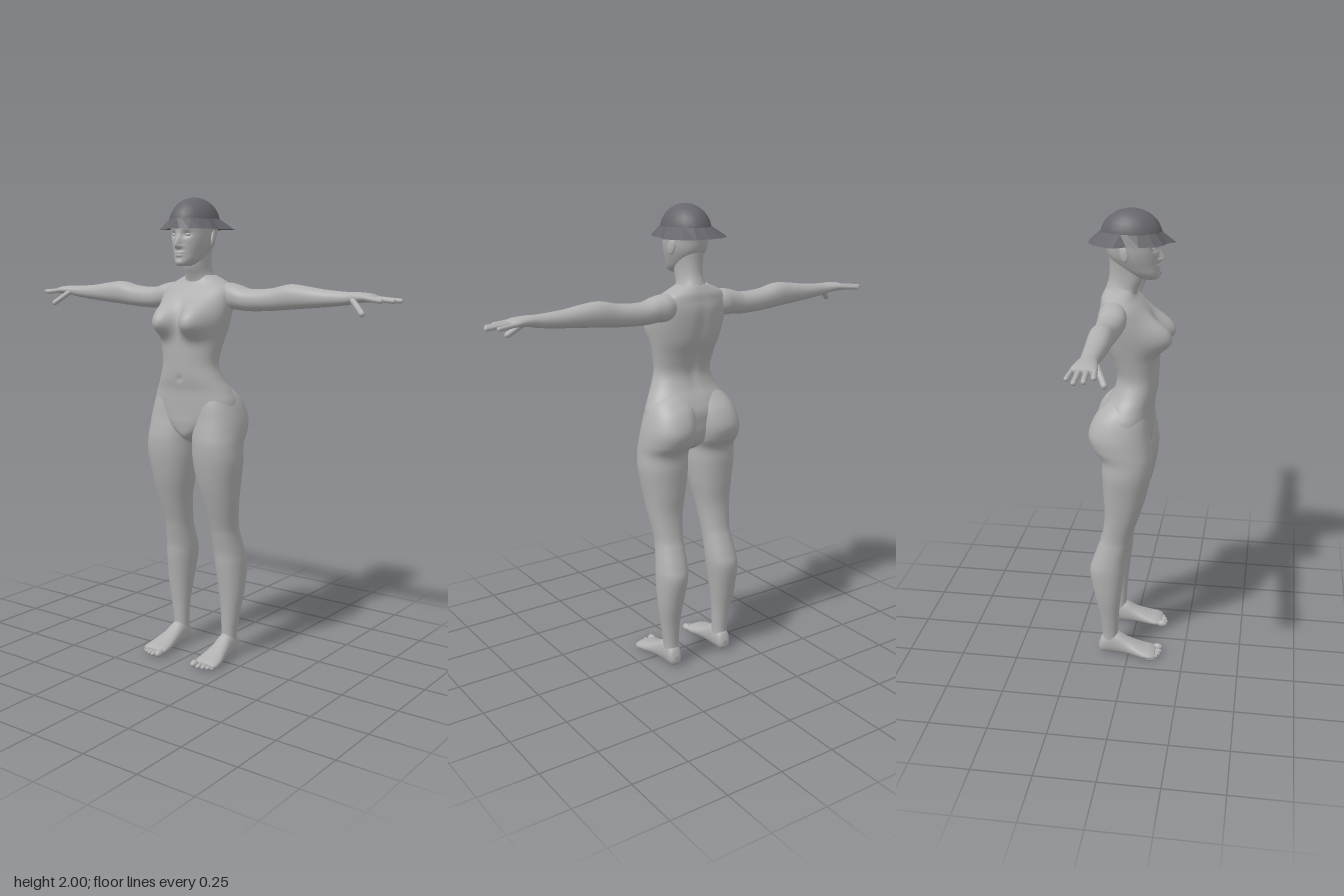
import * as THREE from 'three';

const skin = new THREE.MeshStandardMaterial({ color: 0xb0b0b0 });
skin.name = 'matte grey';
const hatGrey = new THREE.MeshStandardMaterial({ color: 0x66656b, side: THREE.DoubleSide });
hatGrey.name = 'dark hat grey';

// Smooth interpolation of a table of cross-sections
function sample(rows, t) {
  const i = Math.min(Math.floor(t), rows.length - 2), f = t - i;
  const at = k => rows[Math.max(0, Math.min(rows.length - 1, k))];
  return rows[i].map((p1, c) => {
    const p0 = at(i - 1)[c], p2 = at(i + 1)[c], p3 = at(i + 2)[c];
    return p1 + 0.5 * f * (p2 - p0 + f * (2 * p0 - 5 * p1 + 4 * p2 - p3 + f * (3 * (p1 - p2) + p3 - p0)));
  });
}

// Closed loft; each row is [y, centre x, half width, front z, back z]
function loft(rows, { sides = 40, steps = 6, power = 0.92, bump = null } = {}) {
  const pos = [], index = [], rings = (rows.length - 1) * steps + 1;
  const put = v => { if (bump) bump(v); pos.push(v.x, v.y, v.z); };
  const pw = s => Math.sign(s) * Math.abs(s) ** power;
  for (let i = 0; i < rings; i++) {
    const [y, cx, rx, zf, zb] = sample(rows, i / steps);
    for (let j = 0; j < sides; j++) {
      const a = j / sides * Math.PI * 2;
      put(new THREE.Vector3(cx + rx * pw(Math.cos(a)), y, (zf + zb) / 2 + (zf - zb) / 2 * pw(Math.sin(a))));
    }
  }
  for (const r of [rows[0], rows[rows.length - 1]]) put(new THREE.Vector3(r[1], r[0], (r[3] + r[4]) / 2));
  const c0 = rings * sides, top = (rings - 1) * sides;
  for (let j = 0; j < sides; j++) {
    const k = (j + 1) % sides;
    for (let i = 0; i < rings - 1; i++) {
      const a = i * sides + j, b = i * sides + k;
      index.push(a, a + sides, b, b, a + sides, b + sides);
    }
    index.push(c0, j, k, c0 + 1, top + k, top + j);
  }
  const g = new THREE.BufferGeometry();
  g.setAttribute('position', new THREE.Float32BufferAttribute(pos, 3));
  g.setIndex(index);
  g.computeVertexNormals();
  return g;
}

function mirrored(g) {
  const m = g.clone().scale(-1, 1, 1), ix = m.index;
  for (let i = 0; i < ix.count; i += 3) {
    const t = ix.getX(i);
    ix.setX(i, ix.getX(i + 1));
    ix.setX(i + 1, t);
  }
  return m;
}

function ball(x, y, z, rx, ry, rz) {
  return new THREE.SphereGeometry(1, 20, 14).scale(rx, ry, rz).translate(x, y, z);
}

// Rounded digit between two points
function digit(a, b, r) {
  const from = new THREE.Vector3(...a), to = new THREE.Vector3(...b), d = to.clone().sub(from);
  const q = new THREE.Quaternion().setFromUnitVectors(new THREE.Vector3(0, 1, 0), d.clone().normalize());
  const mid = from.add(to).multiplyScalar(0.5);
  return new THREE.CapsuleGeometry(r, d.length() - 2 * r, 5, 12).applyQuaternion(q).translate(mid.x, mid.y, mid.z);
}

const bell = (dx, dy, k = 1) => Math.exp(-((dx * dx + dy * dy) ** k));

export function createModel() {
  const model = new THREE.Group();
  model.name = 'figure';
  const add = (name, g, mat = skin) => {
    const m = new THREE.Mesh(g, mat);
    m.name = name;
    model.add(m);
  };
  const pair = (name, g) => { add('left ' + name, g); add('right ' + name, mirrored(g)); };

  // Torso with the chest and the spine groove shaped into it
  add('torso', loft([
    [0.97, 0, 0.02, 0.03, -0.05], [1.0, 0, 0.05, 0.075, -0.1], [1.05, 0, 0.14, 0.088, -0.12],
    [1.1, 0, 0.195, 0.09, -0.125], [1.15, 0, 0.2, 0.092, -0.125], [1.2, 0, 0.178, 0.095, -0.105],
    [1.25, 0, 0.15, 0.105, -0.078], [1.31, 0, 0.13, 0.11, -0.065], [1.38, 0, 0.138, 0.113, -0.085],
    [1.45, 0, 0.152, 0.112, -0.115], [1.52, 0, 0.165, 0.1, -0.13], [1.58, 0, 0.17, 0.075, -0.135],
    [1.62, 0, 0.165, 0.045, -0.13], [1.65, 0, 0.13, 0.018, -0.125], [1.68, 0, 0.065, 0.005, -0.11],
  ], {
    sides: 80, bump: v => {
      if (v.z > 0) {
        const dy = v.y - 1.49;
        v.z += 0.075 * bell((Math.abs(v.x) - 0.083) / 0.062, dy / (dy > 0 ? 0.075 : 0.06), 1.3);
        v.z -= 0.008 * bell(v.x / 0.01, (v.y - 1.25) / 0.012);
      } else v.z += 0.012 * bell(v.x / 0.025, (v.y - 1.42) / 0.15);
    },
  }));

  // Legs, from the ankles to the seat
  pair('leg', loft([
    [0.04, 0.133, 0.033, -0.05, -0.125], [0.1, 0.133, 0.033, -0.05, -0.12], [0.2, 0.138, 0.042, -0.045, -0.13],
    [0.3, 0.14, 0.055, -0.035, -0.15], [0.42, 0.134, 0.066, -0.02, -0.172], [0.48, 0.13, 0.066, -0.015, -0.16],
    [0.55, 0.126, 0.062, 0, -0.135], [0.6, 0.124, 0.063, 0.012, -0.118], [0.7, 0.125, 0.076, 0.045, -0.105],
    [0.8, 0.122, 0.093, 0.075, -0.11], [0.9, 0.122, 0.107, 0.095, -0.115], [0.97, 0.12, 0.107, 0.1, -0.118],
    [1.02, 0.116, 0.11, 0.095, -0.155], [1.08, 0.112, 0.108, 0.085, -0.172], [1.15, 0.1, 0.1, 0.076, -0.147],
    [1.2, 0.085, 0.085, 0.06, -0.102], [1.23, 0.07, 0.05, 0.02, -0.07],
  ]));

  // Feet, lofted from heel to ball
  pair('foot', loft([
    [-0.136, 0.133, 0.016, -0.02, -0.05], [-0.122, 0.133, 0.03, -0.003, -0.085], [-0.09, 0.133, 0.034, 0, -0.11],
    [-0.05, 0.133, 0.036, 0, -0.105], [0, 0.136, 0.042, -0.002, -0.075], [0.06, 0.14, 0.054, 0, -0.05],
    [0.1, 0.141, 0.057, 0, -0.038], [0.122, 0.141, 0.048, -0.005, -0.028],
  ]).rotateX(Math.PI / 2));
  [[0.098, 0.127, 0.016], [0.124, 0.128, 0.0115], [0.146, 0.122, 0.011], [0.166, 0.113, 0.0105], [0.184, 0.102, 0.01]]
    .forEach(([x, z, r], i) => pair('toe ' + (i + 1), ball(x, r * 1.05, z, r, r, 0.024)));

  // Arms and palms, lofted outward from the shoulder
  pair('arm', loft([
    [0.08, -1.6, 0.04, -0.02, -0.1], [0.14, -1.595, 0.055, -0.005, -0.118], [0.19, -1.59, 0.052, 0, -0.115],
    [0.25, -1.58, 0.046, -0.005, -0.112], [0.35, -1.584, 0.046, -0.01, -0.108], [0.44, -1.597, 0.051, -0.01, -0.105],
    [0.52, -1.597, 0.044, -0.01, -0.1], [0.6, -1.595, 0.035, -0.015, -0.095], [0.7, -1.597, 0.026, -0.02, -0.088],
    [0.75, -1.602, 0.021, -0.014, -0.092], [0.8, -1.602, 0.017, -0.006, -0.1], [0.83, -1.598, 0.01, -0.01, -0.1],
  ]).rotateZ(-Math.PI / 2));
  [[-0.018, 0.875, -0.008], [-0.043, 0.915, -0.036], [-0.067, 0.93, -0.068], [-0.091, 0.893, -0.1]]
    .forEach(([z0, x1, z1], i) => pair('finger ' + (i + 1),
      digit([0.79, 1.602, z0], [x1, 1.592, z1], 0.0105 - i * 0.0005)));
  pair('thumb', digit([0.735, 1.598, -0.025], [0.81, 1.537, 0.02], 0.012));

  // Neck
  add('neck', loft([
    [1.6, 0, 0.1, 0.01, -0.13], [1.65, 0, 0.075, 0.015, -0.122], [1.68, 0, 0.056, 0.025, -0.11],
    [1.72, 0, 0.05, 0.042, -0.098], [1.77, 0, 0.052, 0.045, -0.095], [1.83, 0, 0.06, 0.04, -0.1],
  ]));

  // Head with nose, lips, chin and eye sockets shaped into it
  add('head', loft([
    [1.718, 0, 0.02, 0.095, 0.04], [1.727, 0, 0.034, 0.104, 0.01], [1.745, 0, 0.049, 0.106, -0.03],
    [1.77, 0, 0.061, 0.104, -0.065], [1.81, 0, 0.076, 0.105, -0.098], [1.85, 0, 0.083, 0.107, -0.11],
    [1.9, 0, 0.085, 0.105, -0.113], [1.95, 0, 0.065, 0.07, -0.085],
  ], {
    sides: 112, steps: 9, bump: v => {
      if (v.z < 0.03) return;
      const x = Math.abs(v.x), dy = v.y - 1.802;
      v.z += 0.026 * bell(x / (dy > 0 ? 0.011 : 0.015), dy / (dy > 0 ? 0.036 : 0.011))
        + 0.008 * bell(x / 0.022, (v.y - 1.774) / 0.006) + 0.008 * bell(x / 0.019, (v.y - 1.762) / 0.006)
        + 0.005 * bell(x / 0.018, (v.y - 1.733) / 0.012)
        - 0.012 * bell((x - 0.034) / 0.017, (v.y - 1.848) / 0.013);
    },
  }));
  pair('eye', ball(0.034, 1.847, 0.082, 0.014, 0.008, 0.012));
  pair('ear', ball(0, 0, 0, 0.009, 0.034, 0.019).rotateX(-0.2).rotateY(0.3).translate(0.082, 1.832, -0.025));

  // Hat crown
  add('hat crown', new THREE.SphereGeometry(1, 24, 8, 0, Math.PI * 2, 0, Math.PI / 2)
    .scale(0.096, 0.108, 0.126).translate(0, 1.892, -0.006), hatGrey);

  // Hat brim, sloping out to a pointed rim
  const half = [[0, -0.178], [0.06, -0.172], [0.11, -0.14], [0.146, -0.085], [0.15, -0.06], [0.122, -0.01],
    [0.126, 0.04], [0.102, 0.1], [0.07, 0.13], [0.03, 0.142], [0, 0.175]];
  const rim = [...half, ...half.slice(1, -1).reverse().map(([x, z]) => [-x, z])];
  const corners = [], faces = [];
  rim.forEach(([x, z], i) => {
    const a = Math.atan2((z + 0.006) / 0.126, x / 0.096), n = (i + 1) % rim.length;
    corners.push(Math.cos(a) * 0.094, 1.912, Math.sin(a) * 0.124 - 0.006, x, 1.869, z);
    faces.push(2 * i, 2 * n, 2 * i + 1, 2 * n, 2 * n + 1, 2 * i + 1);
  });
  let brim = new THREE.BufferGeometry();
  brim.setAttribute('position', new THREE.Float32BufferAttribute(corners, 3));
  // Wind the faces so the upper side is the front
  for (let i = 0; i < faces.length; i += 3) [faces[i + 1], faces[i + 2]] = [faces[i + 2], faces[i + 1]];
  brim.setIndex(faces);
  brim = brim.toNonIndexed();
  brim.computeVertexNormals();
  add('hat brim', brim, hatGrey);

  return model;
}
